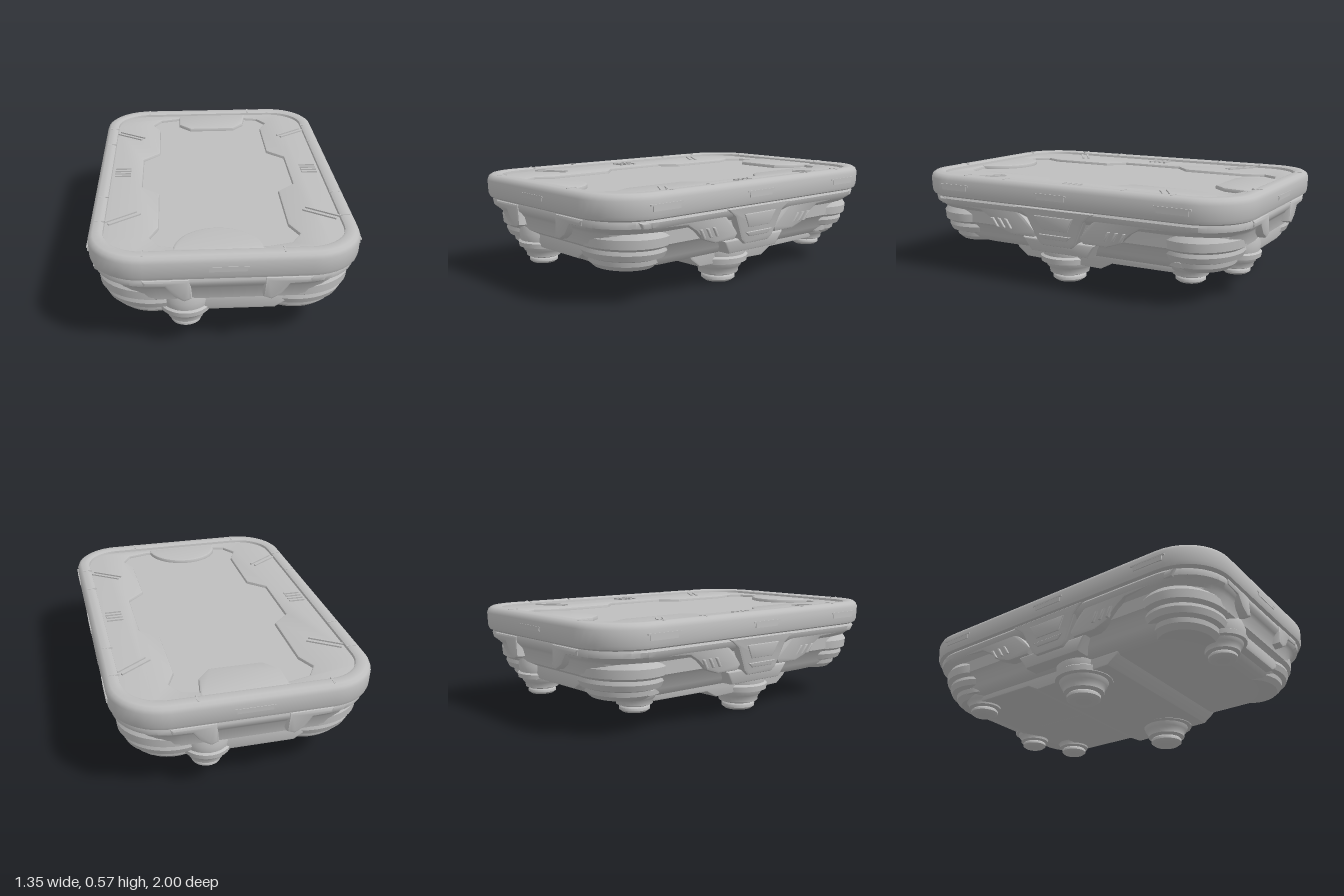
import * as THREE from 'three';
import { toCreasedNormals } from 'three/addons/utils/BufferGeometryUtils.js';

const grey = new THREE.MeshStandardMaterial({ color: 0xbebebe });
grey.name = 'hullGrey';

function add(parent, name, geometry, crease = 0.6) {
  const mesh = new THREE.Mesh(toCreasedNormals(geometry, crease), grey);
  mesh.name = name;
  parent.add(mesh);
  return mesh;
}

function box(parent, name, w, h, d, x, y, z) {
  const mesh = add(parent, name, new THREE.BoxGeometry(w, h, d));
  mesh.position.set(x, y, z);
  return mesh;
}

// Skin through rounded rectangles given as [halfX, halfZ, cornerRadius, y]
function loft(rings, capBottom = false) {
  const steps = 10, n = 4 * (steps + 1), pos = [], index = [];
  for (const [hx, hz, r, y] of rings) {
    for (let c = 0; c < 4; c++) {
      const cx = (c === 0 || c === 3 ? 1 : -1) * (hx - r);
      const cz = (c < 2 ? 1 : -1) * (hz - r);
      for (let i = 0; i <= steps; i++) {
        const a = (c + i / steps) * Math.PI / 2;
        pos.push(cx + r * Math.cos(a), y, cz + r * Math.sin(a));
      }
    }
  }
  for (let k = 0; k < rings.length - 1; k++) {
    for (let j = 0; j < n; j++) {
      const a = k * n + j, b = k * n + (j + 1) % n;
      index.push(a, a + n, b, b, a + n, b + n);
    }
  }
  if (capBottom) {
    pos.push(0, rings[0][3], 0);
    for (let j = 0; j < n; j++) index.push(pos.length / 3 - 1, j, (j + 1) % n);
  }
  const g = new THREE.BufferGeometry();
  g.setAttribute('position', new THREE.Float32BufferAttribute(pos, 3));
  g.setIndex(index);
  return g;
}

const shapeOf = pts => new THREE.Shape(pts.map(p => new THREE.Vector2(p[0], p[1])));

function extrude(shape, depth, bevel) {
  return new THREE.ExtrudeGeometry(shape, {
    depth: depth - bevel, bevelEnabled: bevel > 0, bevelThickness: bevel,
    bevelSize: bevel, bevelOffset: -bevel, bevelSegments: 2, curveSegments: 16,
  });
}

// Plate on the side s = +1 or -1, outline in [z, y], outer face at x
function sidePlate(parent, name, s, pts, depth, x, bevel = 0.012) {
  const g = extrude(shapeOf(pts.map(([z, y]) => [-s * z, y])), depth, bevel);
  g.translate(0, 0, x - depth);
  g.rotateY(s * Math.PI / 2);
  const p = g.attributes.position;
  for (let i = 0; i < p.count; i++) p.setX(i, p.getX(i) + s * (p.getY(i) - 0.42) * 0.12);
  g.computeVertexNormals();
  add(parent, name, g);
}

// Plate on the front (s = 1) or back (s = -1), outline in [x, y]
function endPlate(parent, name, s, pts, depth, z) {
  const g = extrude(shapeOf(pts), depth, 0.015);
  g.translate(0, 0, z - depth);
  if (s < 0) g.rotateY(Math.PI);
  add(parent, name, g);
}

// Horizontal plate, shape in [x, z], with its top at y
function deckPlate(parent, name, shape, depth, y, bevel) {
  const g = extrude(shape, depth, bevel);
  g.rotateX(Math.PI / 2);
  g.translate(0, y - bevel, 0);
  add(parent, name, g);
}

function buildDeck(group) {
  // Sunken floor
  deckPlate(group, 'deckFloor', roundedRect(0.62, 0.94, 0.22), 0.02, 0.535, 0);
  // Raised border around the floor
  const border = roundedRect(0.625, 0.94, 0.22);
  const half = [[0.2, 0.87], [0.32, 0.84], [0.37, 0.76], [0.325, 0.66], [0.325, 0.28], [0.42, 0.19]];
  const right = [...half, ...half.map(([x, z]) => [x, -z]).reverse()];
  const outline = [...right, ...right.map(([x, z]) => [-x, z]).reverse()];
  border.holes.push(new THREE.Path(outline.map(p => new THREE.Vector2(p[0], p[1]))));
  deckPlate(group, 'deckBorder', border, 0.03, 0.552, 0.012);
  // Front and back deck hatches
  const dome = new THREE.Shape();
  dome.absellipse(-0.04, 0.9, 0.22, 0.22, Math.PI, Math.PI * 2);
  deckPlate(group, 'frontHatch', dome, 0.03, 0.556, 0.012);
  deckPlate(group, 'backHatch', shapeOf([[-0.2, -0.92], [-0.2, -0.75], [-0.13, -0.67],
    [0.15, -0.67], [0.22, -0.75], [0.25, -0.92]]), 0.03, 0.556, 0.012);
  // Grip ribs and corner bars
  for (const s of [1, -1]) {
    for (let i = 0; i < 4; i++) box(group, 'deckRib', 0.09, 0.012, 0.012, s * 0.535, 0.554, (i - 1.5) * 0.033);
    for (const e of [1, -1]) {
      for (const k of [-1, 1]) {
        const bar = box(group, 'cornerBar', 0.19, 0.012, 0.012, s * (0.51 + k * 0.01), 0.554, e * (0.56 - k * 0.014));
        bar.rotation.y = -s * e * 0.6;
      }
    }
  }
}

function roundedRect(hx, hz, r) {
  const s = new THREE.Shape();
  s.absarc(hx - r, hz - r, r, 0, Math.PI / 2);
  s.absarc(r - hx, hz - r, r, Math.PI / 2, Math.PI);
  s.absarc(r - hx, r - hz, r, Math.PI, Math.PI * 1.5);
  s.absarc(hx - r, r - hz, r, Math.PI * 1.5, Math.PI * 2);
  return s;
}

function buildRim(group) {
  add(group, 'rim', loft([[0.57, 0.89, 0.2, 0.45], [0.645, 0.97, 0.25, 0.44], [0.664, 0.989, 0.265, 0.45],
    [0.67, 0.996, 0.27, 0.468], [0.672, 0.998, 0.27, 0.54], [0.664, 0.99, 0.262, 0.56], [0.648, 0.973, 0.245, 0.571],
    [0.615, 0.935, 0.22, 0.573], [0.599, 0.916, 0.2, 0.565], [0.592, 0.908, 0.2, 0.53]]), 0.7);
  for (const s of [1, -1]) {
    // Handle slots on the rim faces
    for (const z of [0.68, 0.03, -0.67]) {
      box(group, 'sideSlot', 0.008, 0.026, 0.17, s * 0.671, 0.5, z);
      box(group, 'sideSlotLip', 0.012, 0.008, 0.2, s * 0.67, 0.517, z);
    }
    box(group, 'endSlot', 0.18, 0.018, 0.006, 0, 0.5, s * 0.997);
    box(group, 'endSlotLip', 0.2, 0.008, 0.008, 0, 0.513, s * 0.996);
    // Segment joints
    for (const z of [0.62, 0.35, -0.38, -0.65]) box(group, 'rimJoint', 0.055, 0.006, 0.008, s * 0.62, 0.571, z);
    for (const x of [-0.4, 0.27]) box(group, 'rimJoint', 0.008, 0.006, 0.055, x, 0.571, s * 0.943);
  }
}

function buildHull(group) {
  add(group, 'hull', loft([[0.47, 0.75, 0.2, 0.168], [0.525, 0.83, 0.23, 0.188], [0.555, 0.87, 0.25, 0.225],
    [0.575, 0.895, 0.26, 0.28], [0.605, 0.93, 0.27, 0.302], [0.61, 0.945, 0.27, 0.37], [0.63, 0.958, 0.27, 0.387],
    [0.65, 0.975, 0.27, 0.405], [0.655, 0.978, 0.27, 0.43], [0.64, 0.965, 0.25, 0.455]], true), 0.7);
  // Stepped belly in two halves with a centre seam
  const belly = [[0.39, 0.2], [0.37, 0.165], [0.31, 0.12], [-0.17, 0.11], [-0.24, 0.147], [-0.6, 0.15], [-0.68, 0.2]];
  for (const s of [1, -1]) {
    const g = extrude(shapeOf(belly.map(([z, y]) => [-s * z, y])), 0.5, 0.008);
    g.rotateY(s * Math.PI / 2);
    g.translate(s * 0.002, 0, 0);
    add(group, 'bellyHalf', g);
  }
  // Stepped round housings at the corners
  const housing = [[0, 0.17], [0.17, 0.175], [0.2, 0.2], [0.205, 0.225], [0.235, 0.235], [0.25, 0.265], [0.245, 0.285],
    [0.27, 0.3], [0.275, 0.345], [0.25, 0.385], [0, 0.42]];
  for (const s of [1, -1]) {
    for (const e of [1, -1]) {
      const g = new THREE.LatheGeometry(housing.map(([r, y]) => new THREE.Vector2(r, y)), 40);
      const mesh = add(group, 'cornerHousing', g);
      mesh.scale.z = 0.85;
      mesh.position.set(s * 0.355, 0, e * 0.7);
    }
  }
}

function buildSides(group) {
  const arm = [[0.82, 0.435], [0.8, 0.4], [0.52, 0.385], [0.46, 0.35], [0.4, 0.295], [0.32, 0.268],
    [0.18, 0.268], [0.16, 0.3], [0.22, 0.37], [0.3, 0.435]];
  for (const s of [1, -1]) {
    sidePlate(group, 'sideShield', s, [[0.27, 0.44], [0.2, 0.39], [0.14, 0.26], [0.11, 0.235], [-0.07, 0.235],
      [-0.1, 0.26], [-0.16, 0.39], [-0.23, 0.44]], 0.13, 0.66);
    sidePlate(group, 'shieldInset', s, [[0.14, 0.4], [0.1, 0.325], [-0.06, 0.325], [-0.1, 0.4]], 0.02, 0.666, 0.005);
    sidePlate(group, 'shieldSlot', s, [[0.12, 0.3], [0.09, 0.275], [-0.05, 0.275], [-0.08, 0.3]], 0.02, 0.667, 0.005);
    sidePlate(group, 'lowerStep', s, [[0.25, 0.265], [0.2, 0.19], [-0.16, 0.19], [-0.21, 0.265]], 0.16, 0.64);
    for (const e of [1, -1]) {
      const place = pts => pts.map(([z, y]) => [0.02 + e * (z - 0.02), y]);
      sidePlate(group, 'sideArm', s, place(arm), 0.11, 0.647);
      for (const z of [0.31, 0.355, 0.4]) {
        sidePlate(group, 'ventSlat', s, place([[z, 0.305], [z + 0.014, 0.305], [z + 0.045, 0.355], [z + 0.028, 0.355]]), 0.02, 0.658, 0.004);
      }
    }
  }
}

function buildEnds(group) {
  const bracket = [[0.41, 0.44], [0.4, 0.405], [0.3, 0.4], [0.26, 0.345], [0.21, 0.315], [0.17, 0.33], [0.18, 0.44]];
  for (const e of [1, -1]) {
    for (const m of [1, -1]) endPlate(group, 'endBracket', e, bracket.map(([x, y]) => [m * x, y]), 0.08, 0.984);
    endPlate(group, 'endPanel', e, [[-0.28, 0.305], [0.28, 0.305], [0.3, 0.25], [0.24, 0.21], [-0.24, 0.21], [-0.3, 0.25]], 0.1, 0.9);
  }
}

// Round thruster: stacked rings narrowing toward the foot
function buildThruster(group, x, y, z, size) {
  const profile = [[0, 0], [0.075, 0], [0.093, 0.014], [0.093, 0.03], [0.085, 0.038], [0.11, 0.048], [0.114, 0.075],
    [0.125, 0.085], [0.135, 0.11], [0.158, 0.115], [0.162, 0.145], [0.148, 0.155], [0.155, 0.2], [0.14, 0.25], [0, 0.29]];
  const g = new THREE.LatheGeometry(profile.map(([r, h]) => new THREE.Vector2(r * size, h * size)), 32);
  add(group, 'thruster', g, 0.8).position.set(x, y, z);
}

export function createModel() {
  const model = new THREE.Group();
  model.name = 'hoverPlatform';
  const parts = { deck: buildDeck, rimAssembly: buildRim, hullAssembly: buildHull, sideArmor: buildSides, endArmor: buildEnds };
  for (const [name, build] of Object.entries(parts)) {
    const group = new THREE.Group();
    group.name = name;
    build(group);
    model.add(group);
  }
  // Two main thrusters and four smaller ones
  const thrusters = new THREE.Group();
  thrusters.name = 'thrusters';
  for (const s of [1, -1]) {
    buildThruster(thrusters, s * 0.41, 0, 0.085, 1);
    buildThruster(thrusters, s * 0.42, 0.1, -0.66, 0.84);
  }
  buildThruster(thrusters, 0.2, 0.115, -0.82, 0.8);
  buildThruster(thrusters, -0.2, 0.11, 0.82, 0.82);
  model.add(thrusters);
  return model;
}
